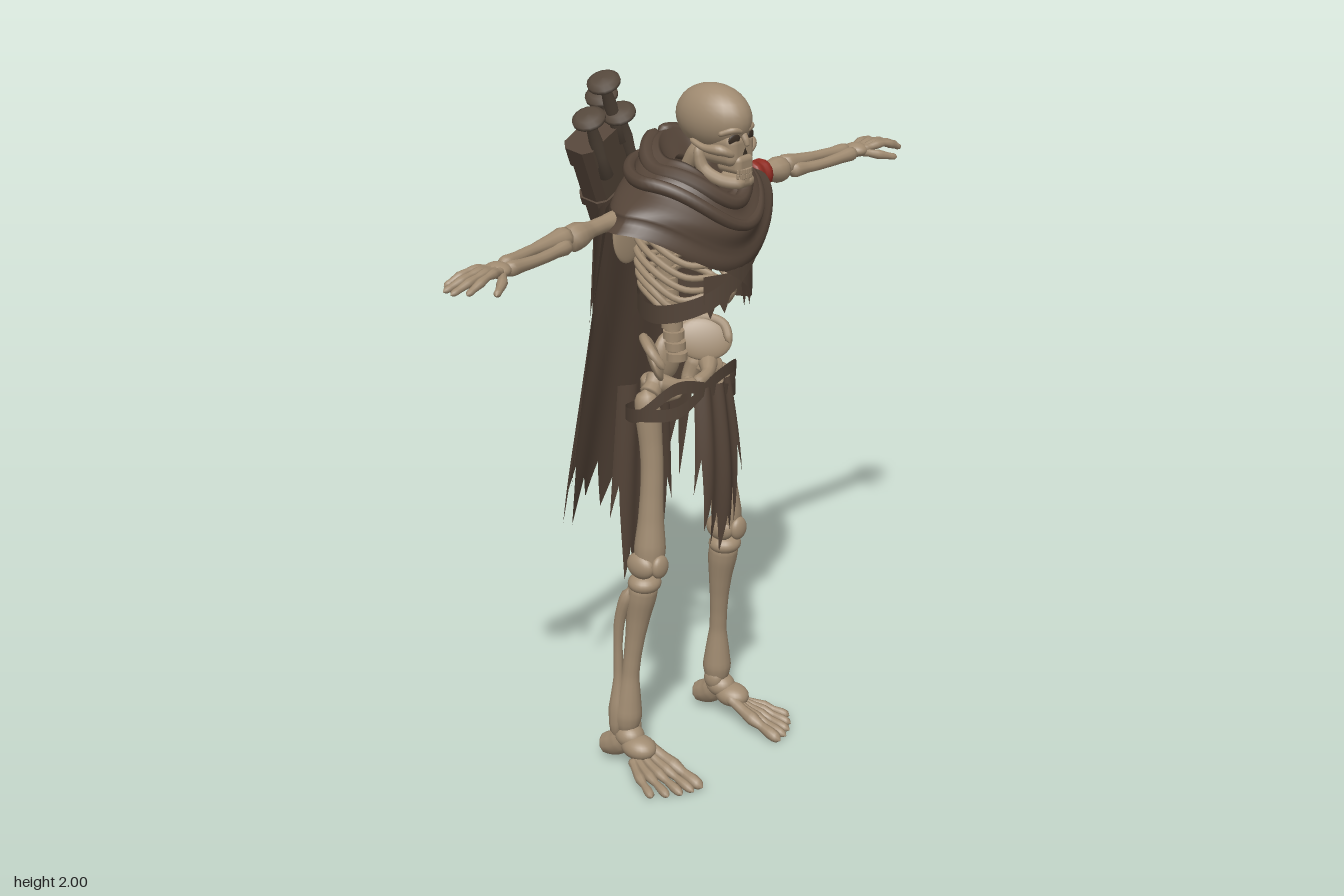
import * as THREE from 'three';
import { mergeVertices } from 'three/addons/utils/BufferGeometryUtils.js';
import { ParametricGeometry } from 'three/addons/geometries/ParametricGeometry.js';
import { RoundedBoxGeometry } from 'three/addons/geometries/RoundedBoxGeometry.js';

const V = (x, y, z) => new THREE.Vector3(x, y, z);
const lerp = THREE.MathUtils.lerp;
const material = (name, color, side = THREE.FrontSide) => {
  const m = new THREE.MeshStandardMaterial({ color, side });
  m.name = name;
  return m;
};

export function createModel() {
  const root = new THREE.Group();
  const bone = material('bone', 0xa08b71);
  const dark = material('hollow', 0x3a2f25);
  const cloth = material('cloth', 0x544438, THREE.DoubleSide);
  const leather = material('leather', 0x524337, THREE.DoubleSide);
  const metal = material('old metal', 0x54473b);
  const red = material('red cloth', 0x8e2a20, THREE.DoubleSide);

  const add = (name, geo, mat, parent = root) => {
    const m = new THREE.Mesh(geo, mat);
    m.name = name;
    parent.add(m);
    return m;
  };
  // Tube whose radius follows a list, with rounded closed ends
  const limb = (name, pts, radii, mat = bone, parent = root, n = 20, sides = 10) => {
    const curve = new THREE.CatmullRomCurve3(pts.map(p => V(...p)));
    const g = new THREE.TubeGeometry(curve, n, 1, sides);
    const p = g.attributes.position, v = V(0, 0, 0);
    for (let i = 0; i <= n; i++) {
      const c = curve.getPointAt(i / n);
      const k = (i / n) * (radii.length - 1), a = Math.min(Math.floor(k), radii.length - 2);
      const end = Math.min(i, n - i);
      const r = end === 0 ? 0.0005 : lerp(radii[a], radii[a + 1], k - a) * (end === 1 ? 0.82 : 1);
      for (let j = 0; j <= sides; j++) {
        const id = i * (sides + 1) + j;
        v.fromBufferAttribute(p, id).sub(c).multiplyScalar(r).add(c);
        p.setXYZ(id, v.x, v.y, v.z);
      }
    }
    g.deleteAttribute('uv');
    g.deleteAttribute('normal');
    const out = mergeVertices(g, 1e-5);
    out.computeVertexNormals();
    return add(name, out, mat, parent);
  };
  const ball = (name, pos, size, mat = bone, parent = root) => {
    const m = add(name, new THREE.SphereGeometry(1, 24, 16), mat, parent);
    m.position.set(...pos);
    m.scale.set(...size);
    return m;
  };
  const sheet = (name, mat, nu, nv, fn, parent = root) =>
    add(name, new ParametricGeometry((u, v, t) => t.set(...fn(u, v)), nu, nv), mat, parent);
  // Zigzag hem height at u
  const zig = (a, u) => {
    const k = u * (a.length - 1), i = Math.min(Math.floor(k), a.length - 2);
    return lerp(a[i], a[i + 1], k - i);
  };
  // Flat closed band along a curve, with its width upright
  const strap = (name, pts, width) => {
    const c = new THREE.CatmullRomCurve3(pts.map(p => V(...p)), true);
    return sheet(name, leather, 56, 1, (u, v) => {
      const p = c.getPoint(u);
      return [p.x, p.y + (v - 0.5) * width, p.z];
    });
  };

  // Skull
  const skull = new THREE.Group();
  skull.name = 'skull';
  skull.position.x = 0.01;
  root.add(skull);
  const block = (name, size, r, pos) =>
    add(name, new RoundedBoxGeometry(...size, 3, r), bone, skull).position.set(...pos);
  ball('cranium', [0, 1.89, 0.14], [0.076, 0.086, 0.114], bone, skull);
  block('face', [0.098, 0.085, 0.12], 0.024, [0, 1.817, 0.184]);
  block('upperJaw', [0.066, 0.05, 0.08], 0.016, [0, 1.78, 0.213]);
  block('chin', [0.062, 0.042, 0.075], 0.017, [0, 1.736, 0.217]);
  add('noseHollow', new THREE.CircleGeometry(0.012, 3, Math.PI / 2), dark, skull).position.set(0, 1.812, 0.2465);
  limb('noseBridge', [[0, 1.86, 0.238], [0, 1.843, 0.249], [0, 1.828, 0.254]], [0.01, 0.009, 0.006], bone, skull);
  for (const s of [-1, 1]) {
    const socket = add('eyeHollow', new THREE.SphereGeometry(1, 16, 10), dark, skull);
    socket.position.set(s * 0.033, 1.85, 0.2365);
    socket.scale.set(0.018, 0.014, 0.0045);
    socket.rotation.set(0.1, s * 0.3, -s * 0.2);
    limb('brow', [[s * 0.008, 1.868, 0.242], [s * 0.035, 1.874, 0.236], [s * 0.06, 1.862, 0.205]], [0.009, 0.009, 0.007], bone, skull);
    limb('cheekBone', [[s * 0.072, 1.84, 0.12], [s * 0.073, 1.825, 0.17], [s * 0.058, 1.822, 0.22], [s * 0.03, 1.805, 0.238]],
      [0.007, 0.009, 0.015, 0.008], bone, skull);
    limb('jaw', [[s * 0.06, 1.825, 0.135], [s * 0.055, 1.765, 0.15], [s * 0.042, 1.738, 0.2], [s * 0.02, 1.733, 0.24], [0, 1.733, 0.246]],
      [0.012, 0.017, 0.017, 0.017, 0.017], bone, skull);
  }
  for (let i = 0; i < 8; i++) for (const y of [1.764, 1.751]) {
    const a = (i - 3.5) * 0.2;
    const t = add('tooth', new RoundedBoxGeometry(0.008, 0.014, 0.009, 1, 0.002), bone, skull);
    t.position.set(Math.sin(a) * 0.04, y, 0.212 + Math.cos(a) * 0.043);
    t.rotation.y = a;
  }

  // Spine and breastbone
  limb('spineCore', [[0, 1.18, 0.01], [0, 1.3, 0.005], [0, 1.45, -0.015], [0, 1.62, 0.0], [0, 1.82, 0.1]], [0.024, 0.021, 0.018, 0.018, 0.02], bone, root, 30);
  for (let i = 0; i < 16; i++) {
    const y = 1.2 + i * 0.03, z = 0.012 - 0.03 * Math.sin((y - 1.25) * 6);
    add('vertebra', new THREE.CylinderGeometry(0.03, 0.03, 0.022, 12), bone).position.set(0, y, z);
    limb('vertebraSpur', [[0, y, z], [0, y - 0.012, z - 0.045]], [0.01, 0.006], bone, root, 4, 6);
  }
  limb('breastbone', [[0, 1.63, 0.15], [0, 1.55, 0.2], [0, 1.47, 0.21]], [0.022, 0.018, 0.01]);
  for (const s of [-1, 1]) {
    // Ribs, collar bone and shoulder blade
    for (let i = 0; i < 8; i++) {
      const y = 1.66 - i * 0.033, w = 0.085 + 0.06 * Math.sin(0.3 + i * 0.3), f = Math.max(0, i - 4);
      limb('rib', [[s * 0.015, y, -0.015], [s * w * 0.7, y - 0.002, -0.03], [s * w, y - 0.035, 0.06],
        [s * w * 0.8, y - 0.08, 0.15 - f * 0.015], [s * (0.025 + f * 0.018), y - 0.085 + f * 0.02, 0.2 - f * 0.012]],
        [0.008, 0.01, 0.01, 0.009, 0.008], bone, root, 24, 7);
    }
    limb('collarBone', [[s * 0.02, 1.64, 0.15], [s * 0.1, 1.66, 0.13], [s * 0.2, 1.66, 0.04]], [0.014, 0.01, 0.013]);
    ball('shoulderBlade', [s * 0.13, 1.57, -0.035], [0.06, 0.085, 0.012]);

    // Arm and hand
    ball('shoulderJoint', [s * 0.215, 1.645, 0.03], [0.036, 0.036, 0.036]);
    limb('upperArm', [[s * 0.2, 1.645, 0.03], [s * 0.3, 1.645, 0.03], [s * 0.445, 1.636, 0.036]], [0.034, 0.027, 0.022, 0.022, 0.036, 0.036]);
    limb('forearmOuter', [[s * 0.42, 1.645, 0.03], [s * 0.56, 1.644, 0.042], [s * 0.7, 1.642, 0.062]], [0.034, 0.023, 0.016, 0.016, 0.022]);
    limb('forearmInner', [[s * 0.44, 1.63, 0.048], [s * 0.56, 1.628, 0.07], [s * 0.705, 1.635, 0.082]], [0.026, 0.016, 0.015, 0.017, 0.023]);
    ball('wrist', [s * 0.717, 1.638, 0.072], [0.032, 0.02, 0.036]);
    const tips = [[0.86, 0.033], [0.888, 0.06], [0.892, 0.09], [0.868, 0.12]];
    tips.forEach(([x, z], i) => limb('finger', [[s * 0.72, 1.64, 0.055 + i * 0.012], [s * 0.79, 1.648, 0.048 + i * 0.022], [s * x, 1.622, z]],
      [0.013, 0.01, 0.013, 0.009, 0.012, 0.009, 0.009], bone, root, 24, 8));
    limb('thumb', [[s * 0.715, 1.635, 0.085], [s * 0.755, 1.625, 0.125], [s * 0.805, 1.612, 0.155]], [0.014, 0.011, 0.014, 0.01, 0.01], bone, root, 16, 8);

    // Hip bone, a flared wing above a ring
    const hip = ball('hipWing', [s * 0.102, 1.222, 0.03], [0.016, 0.06, 0.08]);
    hip.rotation.set(0.15, s * 0.75, -s * 0.45);
    limb('hipCrest', [[s * 0.05, 1.24, -0.045], [s * 0.11, 1.275, 0.0], [s * 0.148, 1.262, 0.06], [s * 0.135, 1.215, 0.098]], [0.012, 0.013, 0.014, 0.012]);
    limb('pubicBone', [[s * 0.11, 1.16, 0.04], [s * 0.06, 1.145, 0.08], [0, 1.135, 0.09]], [0.03, 0.017, 0.018]);
    limb('seatBone', [[s * 0.1, 1.17, 0.01], [s * 0.075, 1.1, 0.0], [s * 0.03, 1.11, 0.07]], [0.026, 0.022, 0.012]);

    // Leg
    limb('thighHead', [[s * 0.09, 1.165, 0.035], [s * 0.14, 1.13, 0.045]], [0.034, 0.026, 0.03]);
    limb('thighBone', [[s * 0.148, 1.15, 0.04], [s * 0.146, 0.95, 0.06], [s * 0.155, 0.8, 0.065], [s * 0.168, 0.62, 0.068]],
      [0.03, 0.036, 0.032, 0.031, 0.032, 0.036, 0.044, 0.04], bone, root, 36, 14);
    for (const k of [-1, 1]) ball('kneeKnuckle', [s * 0.168 + k * 0.024, 0.645, 0.06], [0.028, 0.038, 0.046]);
    ball('kneecap', [s * 0.168, 0.648, 0.108], [0.03, 0.034, 0.018]);
    ball('shinHead', [s * 0.172, 0.585, 0.055], [0.048, 0.03, 0.046]);
    limb('shinBone', [[s * 0.172, 0.6, 0.055], [s * 0.177, 0.48, 0.036], [s * 0.19, 0.3, 0.017], [s * 0.198, 0.1, 0.006]],
      [0.042, 0.042, 0.034, 0.028, 0.025, 0.025, 0.034, 0.042, 0.03], bone, root, 36, 14);
    limb('calfBone', [[s * 0.205, 0.575, 0.03], [s * 0.212, 0.46, -0.004], [s * 0.213, 0.25, -0.01], [s * 0.225, 0.09, -0.01]],
      [0.022, 0.017, 0.013, 0.014, 0.026, 0.02]);
    ball('innerAnkle', [s * 0.178, 0.125, 0.01], [0.022, 0.034, 0.03]);
    ball('ankle', [s * 0.2, 0.1, 0.02], [0.04, 0.036, 0.045]);
    limb('heel', [[s * 0.2, 0.1, 0.02], [s * 0.203, 0.065, -0.02], [s * 0.205, 0.04, -0.075]], [0.034, 0.038, 0.036, 0.03]);
    ball('instep', [s * 0.205, 0.078, 0.06], [0.044, 0.034, 0.055]);
    for (let i = 0; i < 5; i++) {
      const big = i === 0 ? 1.35 : 1.05;
      limb('toe', [[s * (0.182 + i * 0.013), 0.085 - i * 0.009, 0.06], [s * (0.175 + i * 0.024), 0.052 - i * 0.004, 0.15 - i * 0.008],
        [s * (0.173 + i * 0.033), 0.014, 0.272 - i * i * 0.0045]],
        [0.016, 0.012, 0.012, 0.015, 0.01, 0.013, 0.011].map(r => r * big), bone, root, 24, 8);
    }
  }
  ball('sacrum', [0, 1.19, -0.015], [0.05, 0.07, 0.028]);

  // Long cape, spread behind the body
  const capeHem = [0.85, 1.0, 0.72, 0.9, 0.78, 0.86, 0.66, 0.8, 0.72, 0.82, 0.66, 0.78, 0.7, 0.84, 0.66, 0.86, 0.74, 0.92, 0.7, 1.02, 0.8];
  sheet('longCape', cloth, 80, 20, (u, v) => {
    const a = (u - 0.5) * 2.7, c = Math.cos(a), s = Math.sin(a);
    const y = lerp(1.7 - 0.05 * Math.abs(s), zig(capeHem, u), v), d = (1.7 - y) / 0.95;
    return [(0.22 + 0.06 * d) * s, y, -0.02 - 0.09 * d - (0.045 + 0.1 * d) * c + 0.006 * d * Math.sin(a * 9)];
  });
  // Shorter layer hanging from the shoulders
  const mantleHem = [1.38, 1.5, 1.3, 1.4, 1.28, 1.36, 1.25, 1.35, 1.27, 1.34, 1.25, 1.36, 1.28, 1.42, 1.3, 1.46, 1.35];
  sheet('shoulderCape', cloth, 64, 12, (u, v) => {
    const a = (u - 0.5) * 3.1, c = Math.cos(a), s = Math.sin(a);
    const y = lerp(1.69 - 0.05 * s * s, zig(mantleHem, u), v), d = (1.7 - y) / 0.4;
    return [(0.288 - 0.025 * d) * s, y, -0.045 * d - (0.06 + 0.03 * d) * c + 0.003 * Math.sin(a * 9)];
  });
  // Ragged loincloth panels
  const panel = (name, top, hem, w0, w1, zAt) => sheet(name, cloth, 48, 12, (u, v) => {
    const y = lerp(top, zig(hem, u), v), k = (u - 0.5) * 2;
    return [0.01 + k * lerp(w0, w1, Math.min(1, (top - y) / 0.4)), y, zAt(y) - 0.02 * k * k + 0.006 * Math.sin(k * 8)];
  });
  panel('backLoincloth', 1.1, [0.7, 0.8, 0.5, 0.6, 0.46, 0.5, 0.34, 0.46, 0.41, 0.58, 0.5, 0.76, 0.68], 0.1, 0.125, y => -0.09 - 0.03 * (1.1 - y));
  panel('frontLoincloth', 1.15, [0.85, 0.95, 0.74, 0.83, 0.68, 0.78, 0.65, 0.76, 0.7, 0.84, 0.72, 0.95, 0.86], 0.07, 0.105,
    y => 0.16 + 0.025 * Math.sin((1.15 - y) * 5.5));

  // Wrapped shawl: [half width, front depth, back depth, back y, front y, side y]
  const rings = [[0.06, 0.08, 0.05, 1.77, 1.67, 1.71], [0.088, 0.125, 0.09, 1.83, 1.7, 1.785], [0.125, 0.157, 0.125, 1.815, 1.68, 1.765],
    [0.19, 0.182, 0.155, 1.755, 1.62, 1.72], [0.268, 0.178, 0.168, 1.67, 1.555, 1.675], [0.297, 0.165, 0.165, 1.59, 1.495, 1.63]];
  const shawlPoint = (a, [rx, rf, rb, yb, yf, ys], swell) => {
    const c = Math.cos(a), s = Math.sin(a), cc = Math.abs(c);
    const y = c > 0 ? lerp(ys, yf, Math.pow(cc, 3.5)) : lerp(ys, yb, c * c);
    return [rx * s * swell, y, 0.08 + (c > 0 ? Math.pow(cc, 1.45) * rf : -cc * rb) * swell];
  };
  sheet('shawl', cloth, 64, 30, (u, v) => {
    const a = u * Math.PI * 2, k = v * (rings.length - 1), i = Math.min(Math.floor(k), rings.length - 2);
    const fold = 1 + 0.025 * Math.sin(v * 22 + 2.2 * Math.sin(a)) * Math.min(1, v * 3);
    return shawlPoint(a, rings[i].map((q, j) => lerp(q, rings[i + 1][j], k - i)), fold);
  });
  // Twisted folds over the shawl
  [[rings[2], 0.02, 0.014], [rings[3], 0.016, -0.018]].forEach(([ring, r, tilt]) => {
    const pts = [];
    for (let i = 0; i <= 28; i++) {
      const a = i / 28 * Math.PI * 2 + Math.PI, p = shawlPoint(a, ring, 0.985);
      pts.push([p[0], p[1] + tilt * Math.sin(a), p[2]]);
    }
    limb('shawlFold', pts, [r, r * 1.2, r, r * 1.2, r], cloth, root, 72, 8);
  });

  // Chest straps, rags and hip belts
  for (const s of [-1, 1]) {
    strap('chestStrap', [[s * 0.2, 1.62, 0.08], [s * 0.12, 1.57, 0.21], [0, 1.49, 0.25], [-s * 0.09, 1.42, 0.21],
      [-s * 0.155, 1.375, 0.09], [-s * 0.08, 1.38, -0.05], [s * 0.06, 1.5, -0.075], [s * 0.18, 1.63, -0.03]], 0.052);
    strap('hipBelt', [[0, 1.15 + s * 0.015, 0.158], [0.12, 1.13 + s * 0.035, 0.13], [0.183, 1.085, 0.05], [0.12, 1.05, -0.06],
      [0, 1.03, -0.095], [-0.12, 1.05, -0.06], [-0.183, 1.085, 0.05], [-0.12, 1.13 - s * 0.035, 0.13]], 0.036);
    sheet('chestRag', cloth, 8, 4, (u, v) => [s * (0.02 + u * 0.08), lerp(1.49, zig([1.44, 1.38, 1.42, 1.37, 1.42], u), v), 0.232 - 0.03 * u]);
  }

  // Red arm band with hanging ends
  limb('armBand', [[0.283, 1.645, 0.03], [0.318, 1.643, 0.03], [0.357, 1.642, 0.031]], [0.036, 0.042, 0.037, 0.042, 0.036], red, root, 18, 14);
  [[0.292, 1.56, 0.06], [0.305, 1.51, 0.066], [0.32, 1.55, 0.058], [0.308, 1.53, 0.005]].forEach(([x, y, z]) =>
    sheet('armBandEnd', red, 4, 6, (u, v) => [x + (u - 0.5) * 0.024 + 0.004 * Math.sin(v * 5), lerp(1.65, y + (u > 0.4 && u < 0.6 ? 0.012 : 0), v), z + 0.004 * Math.sin(v * 8)]));

  // Slanted quiver across the back
  const quiver = new THREE.Group();
  quiver.name = 'quiver';
  const low = V(0.115, 1.265, -0.2), high = V(-0.175, 1.835, -0.118);
  const axis = high.clone().sub(low).normalize(), len = high.distanceTo(low);
  quiver.position.copy(low);
  quiver.quaternion.setFromUnitVectors(V(0, 1, 0), axis);
  root.add(quiver);
  const prism = (name, w, d, y, h) => {
    const b = 0.02, x = w / 2, z = d / 2;
    const s = new THREE.Shape([[-x + b, -z], [x - b, -z], [x, -z + b], [x, z - b], [x - b, z], [-x + b, z], [-x, z - b], [-x, -z + b]].map(p => new THREE.Vector2(...p)));
    const g = new THREE.ExtrudeGeometry(s, { depth: h, bevelEnabled: false });
    g.rotateX(-Math.PI / 2);
    add(name, g, leather, quiver).position.y = y;
  };
  prism('quiverBody', 0.15, 0.088, 0, len);
  prism('quiverBase', 0.16, 0.098, 0, 0.13);
  for (const y of [0.15, len - 0.2]) prism('quiverBand', 0.16, 0.1, y, 0.025);
  prism('quiverRim', 0.158, 0.098, len - 0.06, 0.06);
  // Weapon grips with disc pommels
  const profile = [[0, -0.2], [0.02, -0.2], [0.015, -0.13], [0.018, -0.08], [0.014, -0.035], [0.02, -0.02], [0.044, -0.008], [0.044, 0.002], [0.03, 0.01], [0, 0.012]];
  [[-0.25, 1.9, -0.06], [-0.193, 1.985, -0.06], [-0.122, 1.925, -0.135], [-0.13, 1.89, -0.065]].forEach(p => {
    const grip = add('weaponGrip', new THREE.LatheGeometry(profile.map(q => new THREE.Vector2(...q)), 16), metal);
    grip.position.set(...p);
    grip.quaternion.setFromUnitVectors(V(0, 1, 0), axis);
  });
  return root;
}
